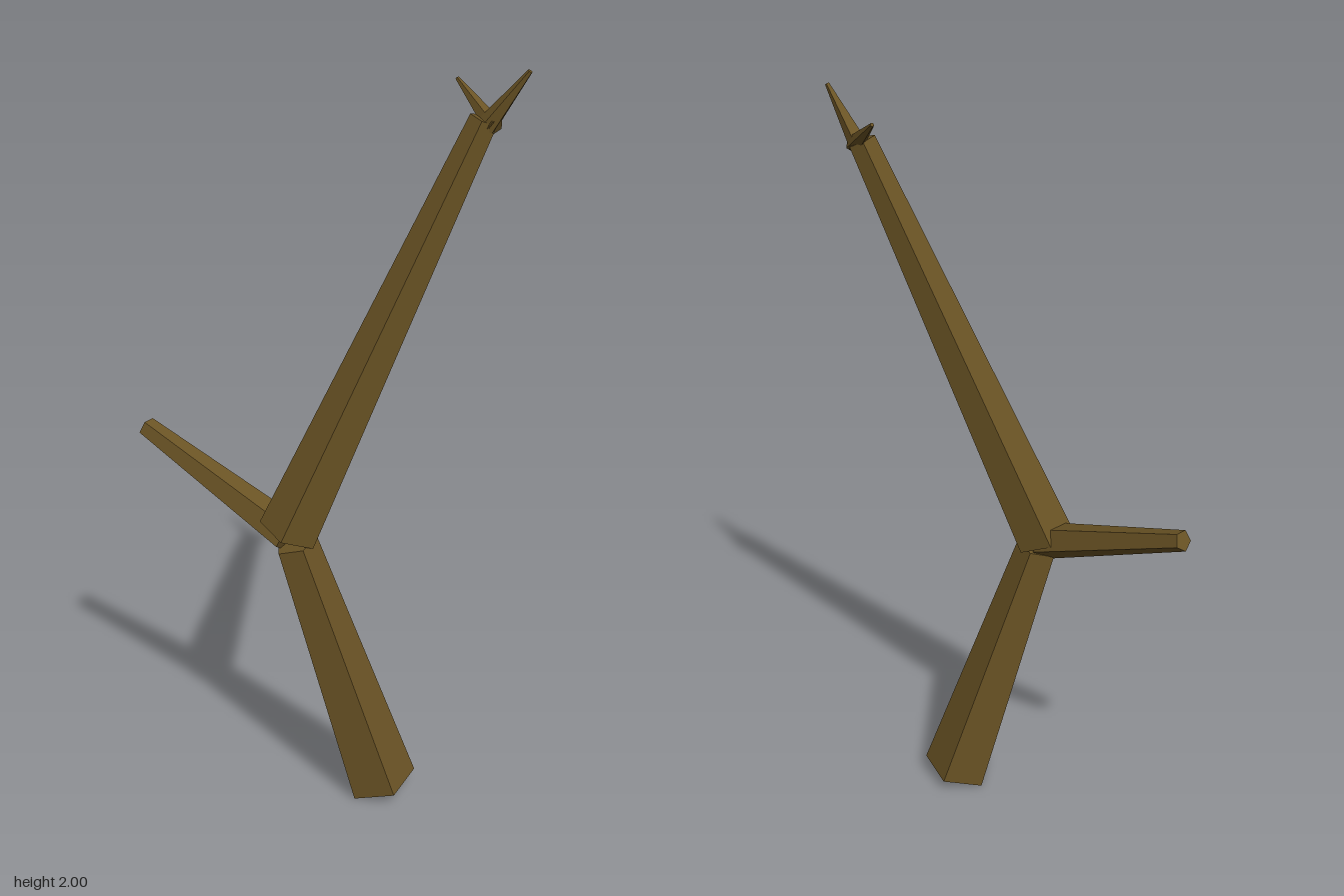
import * as THREE from 'three';

const bark = new THREE.MeshStandardMaterial({ color: 0x6b5425, flatShading: true });

// Five-sided tapered limb from a to b; ridge is the side one corner points to.
function limb(name, a, b, r0, r1, ridge) {
  const start = new THREE.Vector3(...a), end = new THREE.Vector3(...b);
  const axis = end.clone().sub(start);
  const length = axis.length();
  axis.normalize();
  const z = new THREE.Vector3(...ridge).projectOnPlane(axis).normalize();
  const x = new THREE.Vector3().crossVectors(axis, z);
  const geometry = new THREE.CylinderGeometry(r1, r0, length, 5);
  geometry.applyMatrix4(new THREE.Matrix4().makeBasis(x, axis, z));
  const mesh = new THREE.Mesh(geometry, bark);
  mesh.name = name;
  mesh.position.copy(start).add(end).multiplyScalar(0.5);
  return mesh;
}

export function createModel() {
  const tree = new THREE.Group();
  tree.name = 'bareTree';
  tree.add(
    // Trunk bends at the fork
    limb('lowerTrunk', [0.2, 0.023, -0.023], [0.035, 0.77, 0.138], 0.098, 0.058, [1, 0, -1]),
    limb('upperTrunk', [0.02, 0.8, 0.147], [0.351, 1.873, -0.176], 0.081, 0.036, [-1, 0, 1]),
    // Stubby side branch
    limb('sideBranch', [0.02, 0.79, 0.145], [-0.455, 0.97, 0.196], 0.052, 0.028, [0, -1, 0]),
    // Two twigs at the tip
    limb('leftTwig', [0.359, 1.859, -0.177], [0.457, 1.997, -0.2], 0.026, 0.006, [0, 0, 1]),
    limb('rightTwig', [0.38, 1.858, -0.178], [0.232, 1.943, -0.224], 0.024, 0.005, [0, -1, 0])
  );
  return tree;
}
